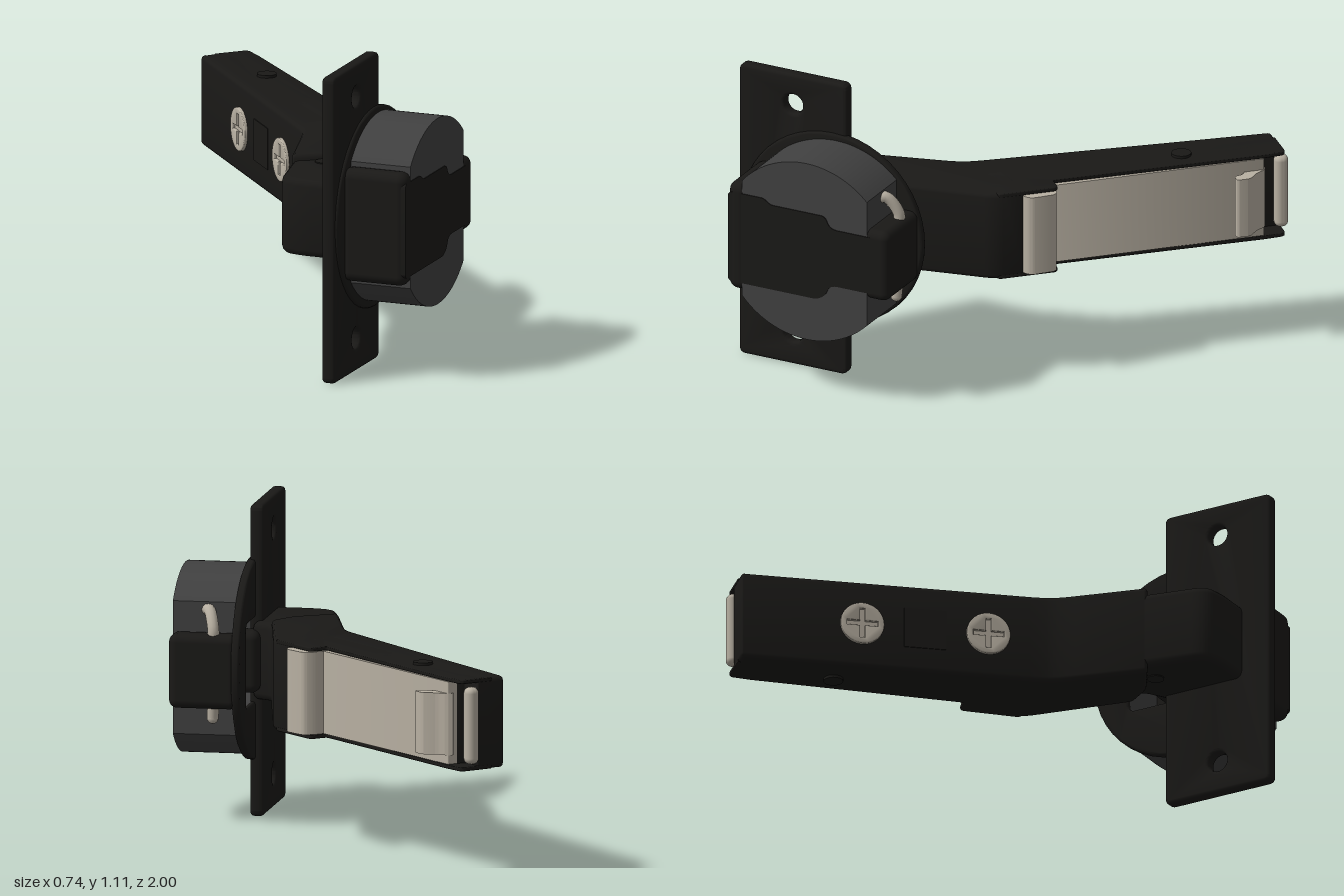
import * as THREE from 'three';
import { toCreasedNormals } from 'three/addons/utils/BufferGeometryUtils.js';
import { RoundedBoxGeometry } from 'three/addons/geometries/RoundedBoxGeometry.js';

const black = new THREE.MeshStandardMaterial({ color: 0x1a1917 });
const grey = new THREE.MeshStandardMaterial({ color: 0x404040 });
const nickel = new THREE.MeshStandardMaterial({ color: 0xb8b0a2 });
const MID = 0.56; // height of the hinge's centre line

function add(parent, name, geometry, material, x = 0, y = 0, z = 0) {
  const mesh = new THREE.Mesh(geometry, material);
  mesh.name = name;
  mesh.position.set(x, y, z);
  parent.add(mesh);
  return mesh;
}

// Closed outline whose corners are rounded; a point is [x, y, radius]
function outline(points, radius = 0.02, Type = THREE.Shape) {
  const path = new Type();
  const n = points.length;
  points.forEach((p, i) => {
    const c = new THREE.Vector2(p[0], p[1]);
    const toward = (q) => {
      const d = new THREE.Vector2(q[0], q[1]).sub(c);
      const r = Math.min(p[2] ?? radius, d.length() * 0.49);
      return d.setLength(r).add(c);
    };
    const a = toward(points[(i + n - 1) % n]);
    const b = toward(points[(i + 1) % n]);
    if (i) path.lineTo(a.x, a.y);
    else path.moveTo(a.x, a.y);
    path.quadraticCurveTo(c.x, c.y, b.x, b.y);
  });
  path.closePath();
  return path;
}

const rect = (x0, y0, x1, y1) => [[x0, y0], [x1, y0], [x1, y1], [x0, y1]];

// Extrusion along z from z0 to z1, edges rounded inward by bevel
function slab(shape, z0, z1, bevel = 0) {
  const geo = new THREE.ExtrudeGeometry(shape, {
    depth: z1 - z0 - 2 * bevel, bevelEnabled: bevel > 0, bevelThickness: bevel,
    bevelSize: bevel, bevelOffset: -bevel, bevelSegments: 3, curveSegments: 24,
  });
  geo.translate(0, 0, z0 + bevel);
  return toCreasedNormals(geo, 0.6);
}

// Extrusion of a plan outline given as [x, z], from y0 up to y1
function planSlab(points, y0, y1, bevel = 0, radius = 0.02) {
  const shape = outline(points.map(([x, z, r]) => [x, -z, r]), radius);
  return slab(shape, y0, y1, bevel).rotateX(-Math.PI / 2);
}

function box(x0, x1, y0, y1, z0, z1, r) {
  const geo = new RoundedBoxGeometry(x1 - x0, y1 - y0, z1 - z0, 3, r);
  return geo.translate((x0 + x1) / 2, (y0 + y1) / 2, (z0 + z1) / 2);
}

// Cup, rim and mounting plate; local z points along the cup's axis
function buildCup() {
  const cup = new THREE.Group();
  cup.name = 'cupAssembly';
  cup.rotation.y = Math.PI / 4;

  // Round body with two flattened sides
  const body = () => {
    const r = 0.337, a = Math.acos(0.24 / r), b = Math.acos(-0.255 / r);
    const s = new THREE.Shape();
    s.absarc(-0.45, MID, r, a, b, false);
    s.absarc(-0.45, MID, r, -b, -a, false);
    s.closePath();
    return s;
  };
  const opening = () => outline(rect(-0.68, 0.41, -0.25, 0.71), 0.03, THREE.Path);
  const wall = body();
  wall.holes.push(opening());
  add(cup, 'cupWall', slab(wall, 0.41, 0.62), grey);
  add(cup, 'cupFloor', slab(body(), 0.62, 0.65), grey);

  // Black housing: T-shaped base and two rounded ends
  const tee = outline([
    [-0.76, 0.387], [-0.41, 0.387, 0.01], [-0.375, 0.405, 0.02], [-0.355, 0.45, 0.03], [-0.18, 0.45],
    [-0.18, 0.665], [-0.355, 0.665, 0.03], [-0.375, 0.71, 0.02], [-0.41, 0.71, 0.01],
    [-0.59, 0.71, 0.01], [-0.62, 0.73, 0.01], [-0.76, 0.73],
  ]);
  add(cup, 'housingBase', slab(tee, 0.6, 0.653), black);
  add(cup, 'housingWideEnd', box(-0.764, -0.685, 0.355, 0.765, 0.405, 0.655, 0.035), black);
  add(cup, 'housingNarrowEnd', box(-0.225, -0.127, 0.425, 0.69, 0.405, 0.653, 0.03), black);
  add(cup, 'hingeLink', box(-0.45, -0.34, 0.45, 0.67, 0.37, 0.62, 0.03), black);

  // Round rim around the opening
  const rim = new THREE.Shape().absarc(-0.47, MID, 0.36, 0, Math.PI * 2);
  rim.holes.push(opening());
  add(cup, 'rim', slab(rim, 0.395, 0.425, 0.008), black);

  // Mounting plate with two screw holes
  const plate = outline(rect(-0.842, 0, -0.415, 1.11), 0.025);
  for (const y of [0.12, 0.995]) plate.holes.push(new THREE.Path().absarc(-0.628, y, 0.037, 0, Math.PI * 2));
  add(cup, 'mountingPlate', slab(plate, 0.368, 0.415, 0.012), black);
  return cup;
}

// Screw with a cross-shaped recess, facing local +z
function buildScrew() {
  const screw = new THREE.Group();
  screw.name = 'adjustingScrew';
  const w = 0.009, l = 0.055;
  const head = new THREE.Shape().absarc(0, 0, 0.078, 0, Math.PI * 2);
  head.holes.push(outline([
    [w, w], [l, w], [l, -w], [w, -w], [w, -l], [-w, -l],
    [-w, -w], [-l, -w], [-l, w], [-w, w], [-w, l], [w, l],
  ], 0, THREE.Path));
  add(screw, 'screwHead', slab(head, -0.01, 0.012, 0.004), nickel);
  add(screw, 'screwCore', new THREE.CylinderGeometry(0.07, 0.07, 0.01, 32).rotateX(Math.PI / 2), nickel, 0, 0, -0.004);
  return screw;
}

function buildArm() {
  const arm = new THREE.Group();
  arm.name = 'arm';

  // Cranked core, cut back where the metal insert sits
  add(arm, 'armCore', planSlab([
    [-0.02, -0.98, 0.01], [0.09, -0.98, 0.005], [0.09, -0.9, 0.005], [0.13, -0.9, 0.005],
    [0.13, 0.0, 0.005], [0.222, 0.0, 0.01], [0.222, 0.11, 0.04], [0.0, 0.45],
    [-0.1, 0.47], [-0.27, 0.43], [-0.105, 0.14, 0.07], [-0.094, 0.08, 0.04],
  ], 0.397, 0.723, 0.016), black);

  // Thin cheeks along both sides of the insert
  const cheek = [
    [0.03, -0.98, 0.005], [0.16, -0.98], [0.165, -0.9], [0.155, -0.125, 0.01],
    [0.222, -0.125], [0.222, 0.1], [0.03, 0.1, 0.005],
  ];
  add(arm, 'lowerCheek', planSlab(cheek, 0.397, 0.412, 0.004), black);
  add(arm, 'upperCheek', planSlab(cheek, 0.708, 0.723, 0.004), black);

  // Knuckle that joins the arm to the cup
  add(arm, 'knuckle', planSlab([
    [-0.25, 0.4], [0.02, 0.42], [-0.022, 0.485], [0.0, 0.566, 0.01],
    [-0.24, 0.79], [-0.345, 0.685, 0.04], [-0.39, 0.61, 0.06],
  ], 0.42, 0.7, 0.025), black);
  add(arm, 'knucklePin', new THREE.CylinderGeometry(0.03, 0.03, 0.288, 24), black, -0.17, MID, 0.485);
  add(arm, 'armPin', new THREE.CylinderGeometry(0.035, 0.035, 0.345, 24), black, 0.08, MID, -0.62);

  // Screws and small panel on the outer face
  const faceX = (z) => -0.0885 - 0.0694 * z;
  for (const z of [-0.55, -0.1]) {
    const screw = buildScrew();
    screw.position.set(faceX(z), MID, z);
    screw.rotation.y = -Math.PI / 2 - 0.069;
    arm.add(screw);
  }
  const panel = add(arm, 'facePanel', new THREE.BoxGeometry(0.006, 0.15, 0.15), black, faceX(-0.325), MID, -0.325);
  panel.rotation.y = -0.069;
  return arm;
}

// Bright metal insert, latch and spring wire
function buildMetalParts() {
  const metal = new THREE.Group();
  metal.name = 'metalParts';
  add(metal, 'insertPlate', planSlab([
    [0.12, -0.9], [0.163, -0.9], [0.168, -0.12], [0.12, -0.12],
  ], 0.413, 0.707, 0, 0.004), nickel);
  add(metal, 'insertStep', planSlab([
    [0.12, -0.125], [0.2, -0.125], [0.245, -0.11], [0.252, -0.015], [0.225, 0.008], [0.12, 0.008],
  ], 0.413, 0.707, 0, 0.02), nickel);
  add(metal, 'latchHook', planSlab([
    [0.14, -0.91], [0.165, -0.9], [0.185, -0.865], [0.225, -0.83], [0.225, -0.78],
    [0.19, -0.78], [0.18, -0.815], [0.14, -0.84],
  ], 0.445, 0.665, 0, 0.012), nickel);
  add(metal, 'endClip', box(0.09, 0.14, 0.42, 0.695, -1.0, -0.95, 0.022), nickel);

  const wire = new THREE.CatmullRomCurve3([
    [0.215, 0.765, 0.545], [0.222, 0.768, 0.51], [0.235, 0.71, 0.468],
    [0.235, 0.66, 0.465], [0.235, 0.5, 0.465], [0.232, 0.39, 0.475],
  ].map((p) => new THREE.Vector3(...p)));
  add(metal, 'springWire', new THREE.TubeGeometry(wire, 40, 0.021, 12), nickel);
  for (const t of [0, 1]) {
    const p = wire.getPoint(t);
    add(metal, 'wireEnd', new THREE.SphereGeometry(0.021, 12, 8), nickel, p.x, p.y, p.z);
  }
  return metal;
}

export function createModel() {
  const model = new THREE.Group();
  model.name = 'cabinetHinge';
  model.add(buildCup(), buildArm(), buildMetalParts());
  return model;
}
